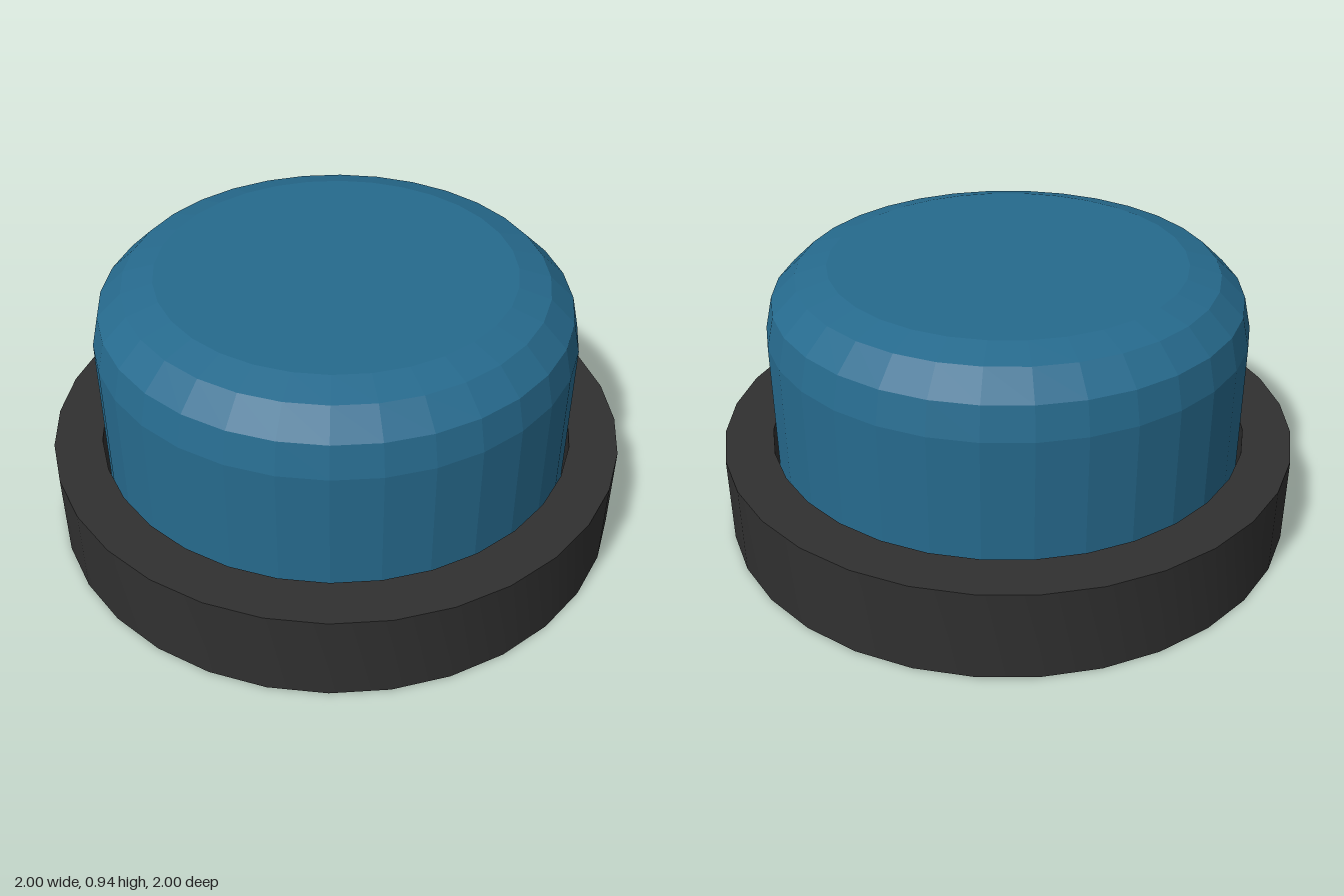
import * as THREE from 'three';
import { toCreasedNormals } from 'three/addons/utils/BufferGeometryUtils.js';

const SIDES = 32;

// Revolve a [radius, height] profile, listed from bottom to top on the outside
function turned(profile, crease) {
  const points = profile.map(([r, y]) => new THREE.Vector2(r, y));
  return toCreasedNormals(new THREE.LatheGeometry(points, SIDES), crease);
}

export function createModel() {
  const group = new THREE.Group();
  group.name = 'pushButton';

  const charcoal = new THREE.MeshStandardMaterial({ color: 0x303030 });
  charcoal.name = 'charcoal';
  const blue = new THREE.MeshStandardMaterial({ color: 0x266a8d });
  blue.name = 'blue';

  // Round housing with a recess for the cap
  const housing = new THREE.Mesh(turned([
    [0, 0], [1, 0], [1, 0.315], [0.833, 0.315], [0.833, 0.1], [0, 0.1],
  ], 0.6), charcoal);
  housing.name = 'housing';

  // Faceted cap with a rounded shoulder and flat top
  const cap = new THREE.Mesh(turned([
    [0, 0.11], [0.82, 0.11], [0.82, 0.72], [0.795, 0.83],
    [0.712, 0.91], [0.605, 0.94], [0, 0.94],
  ], 0.02), blue);
  cap.name = 'cap';

  group.add(housing, cap);
  return group;
}
